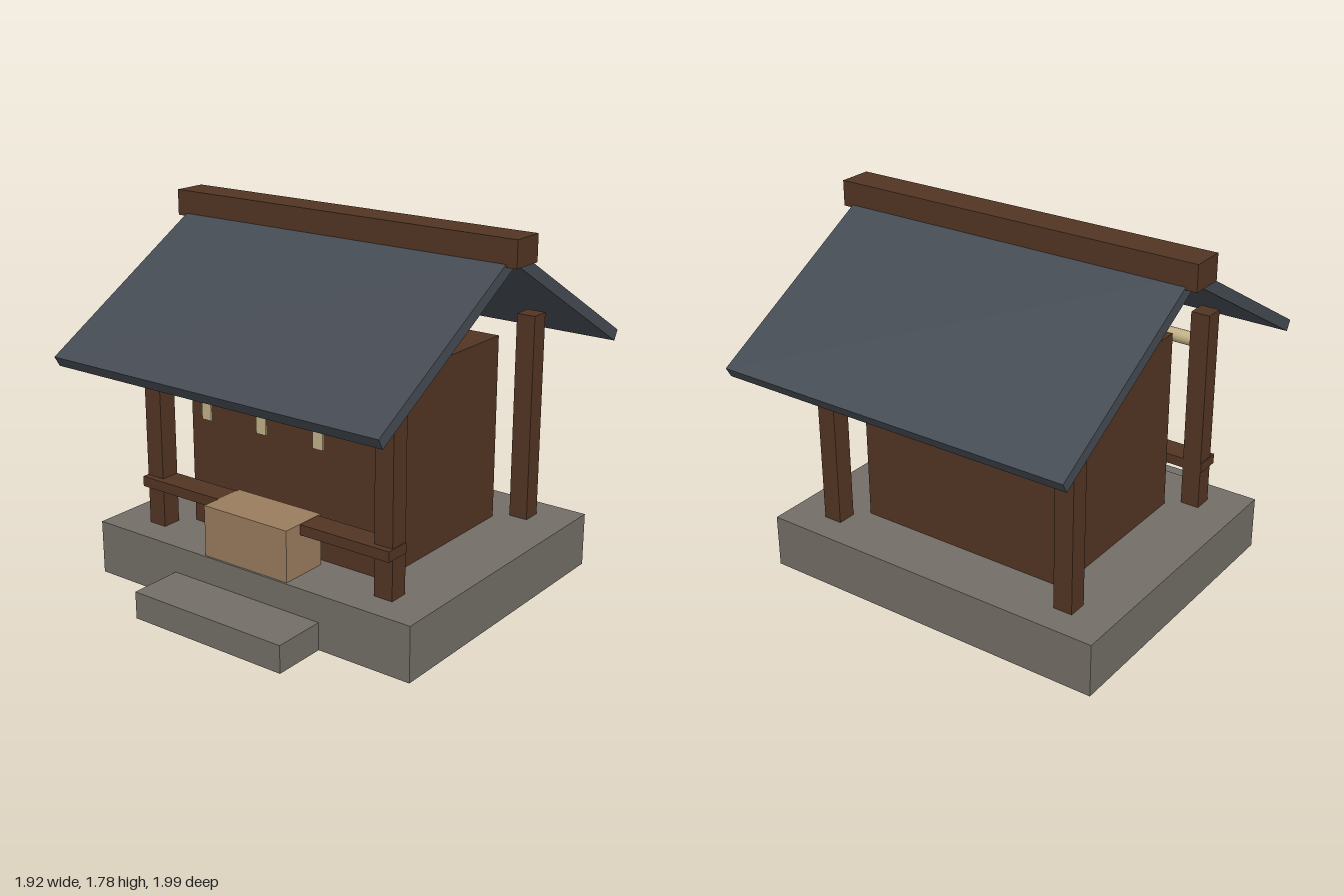
import * as THREE from 'three';

const mat = (name, color) => {
  const m = new THREE.MeshStandardMaterial({ color });
  m.name = name;
  return m;
};

export function createModel() {
  const wood = mat('dark wood', 0x523523);
  const stone = mat('stone', 0x736e66);
  const slate = mat('slate', 0x454b53);
  const paleWood = mat('pale wood', 0x9a7c5e);
  const straw = mat('straw', 0xc2b287);

  const model = new THREE.Group();
  model.name = 'shrine';

  // Box given by its extents on each axis
  const block = (name, material, [x0, x1], [y0, y1], [z0, z1]) => {
    const mesh = new THREE.Mesh(new THREE.BoxGeometry(x1 - x0, y1 - y0, z1 - z0), material);
    mesh.position.set((x0 + x1) / 2, (y0 + y1) / 2, (z0 + z1) / 2);
    mesh.name = name;
    model.add(mesh);
    return mesh;
  };

  const floor = 0.265;
  const zMid = -0.0125;

  // Stone platform and front step
  block('platform', stone, [-0.907, 0.907], [0, floor], [-0.76, 0.735]);
  block('step', stone, [-0.425, 0.425], [0, 0.133], [0.735, 1]);

  // Closed hall
  block('hall', wood, [-0.56, 0.56], [floor, 1.18], [-0.467, 0.442]);

  // Four corner posts
  for (const x of [-0.668, 0.668]) {
    for (const z of [0.548, -0.573]) {
      block('post', wood, [x - 0.048, x + 0.048], [floor, 1.285], [z - 0.048, z + 0.048]);
    }
  }

  // Front rail and offering box
  block('rail', wood, [-0.72, 0.72], [0.46, 0.51], [0.5, 0.628]);
  block('offeringBox', paleWood, [-0.24, 0.24], [floor, 0.512], [0.482, 0.725]);

  // Straw rope with hanging strips
  const rope = new THREE.Mesh(new THREE.CylinderGeometry(0.034, 0.034, 1.24, 12), straw);
  rope.name = 'rope';
  rope.rotation.z = Math.PI / 2;
  rope.position.set(0, 1.1, 0.598);
  model.add(rope);
  for (const x of [-0.323, 0, 0.319]) {
    block('hangingStrip', straw, [x - 0.027, x + 0.027], [0.87, 1.09], [0.592, 0.601]);
  }

  // Two roof slabs whose lower edges meet under the ridge
  const pitch = Math.PI / 6, length = 1.1, thickness = 0.056;
  for (const side of [1, -1]) {
    const geometry = new THREE.BoxGeometry(1.814, thickness, length);
    geometry.translate(0, thickness / 2, side * length / 2);
    const slab = new THREE.Mesh(geometry, slate);
    slab.name = side > 0 ? 'frontRoof' : 'backRoof';
    slab.rotation.x = side * pitch;
    slab.position.set(0, 1.652, zMid);
    model.add(slab);
  }
  block('ridgeBeam', wood, [-0.96, 0.96], [1.655, 1.78], [zMid - 0.084, zMid + 0.084]);

  return model;
}
